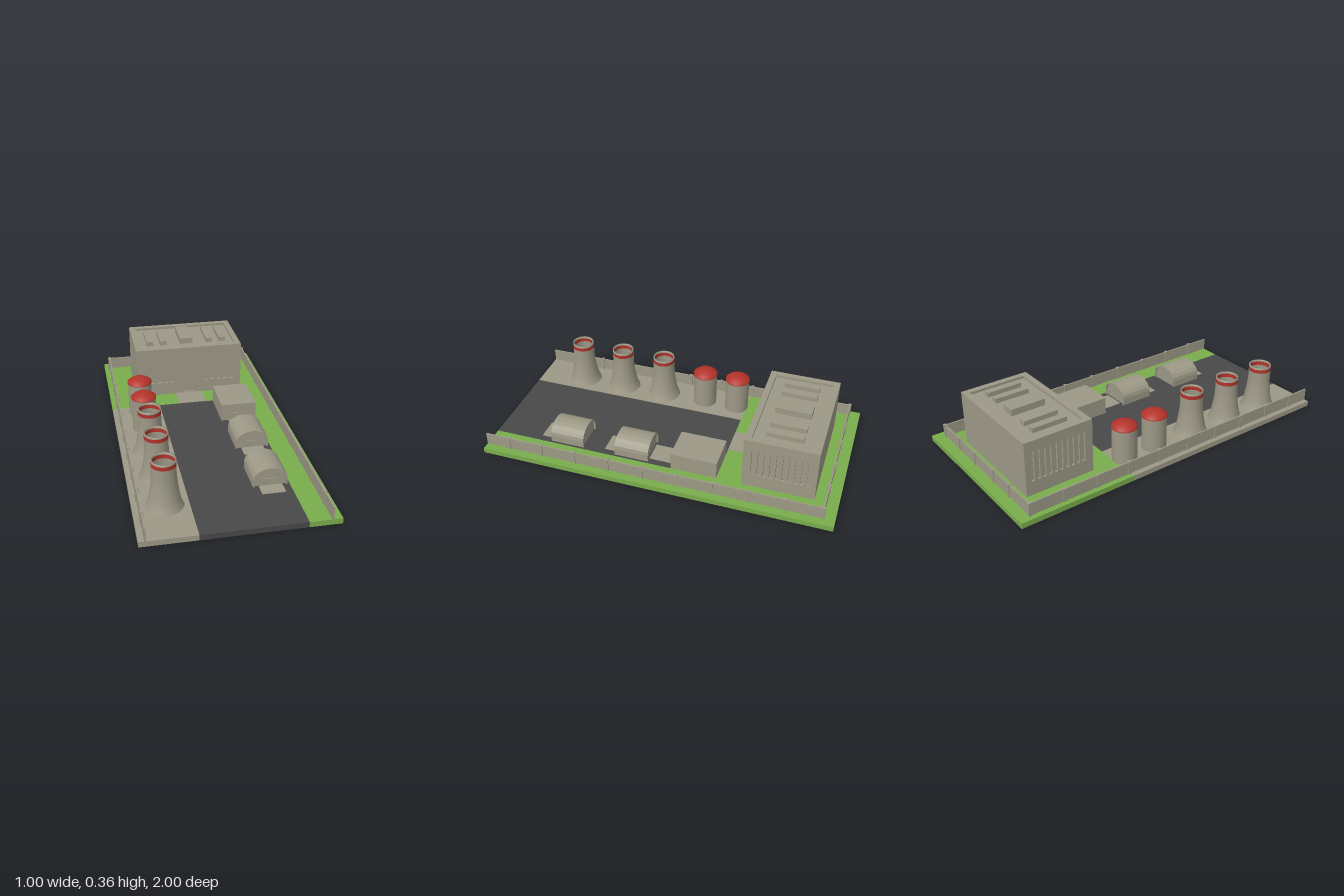
import * as THREE from 'three';

const mat = (name, color) => Object.assign(new THREE.MeshStandardMaterial({ color }), { name });

export function createModel() {
  const concrete = mat('concrete', 0x9d9987);
  const asphalt = mat('asphalt', 0x484848);
  const grass = mat('grass', 0x7aad4d);
  const red = mat('red', 0xb3332a);
  concrete.side = red.side = THREE.DoubleSide;
  const model = new THREE.Group();
  model.name = 'powerPlant';

  const add = (parent, name, geo, material, x = 0, y = 0, z = 0) => {
    const mesh = new THREE.Mesh(geo, material);
    mesh.name = name;
    mesh.position.set(x, y, z);
    parent.add(mesh);
    return mesh;
  };
  // box given by its limits on each axis
  const block = (parent, name, material, x0, x1, y0, y1, z0, z1) =>
    add(parent, name, new THREE.BoxGeometry(x1 - x0, y1 - y0, z1 - z0), material,
      (x0 + x1) / 2, (y0 + y1) / 2, (z0 + z1) / 2);
  const group = (name, x = 0, y = 0, z = 0) => {
    const g = new THREE.Group();
    g.name = name;
    g.position.set(x, y, z);
    model.add(g);
    return g;
  };
  const rect = (C, x0, x1, y0, y1) => new C([[x0, y0], [x1, y0], [x1, y1], [x0, y1]]
    .map(p => new THREE.Vector2(...p)));
  // flat plate with rectangular openings [x0, x1, y0, y1]
  const plate = (outline, holes, depth) => {
    const s = rect(THREE.Shape, ...outline);
    s.holes = holes.map(h => rect(THREE.Path, ...h));
    return new THREE.ExtrudeGeometry(s, { depth, bevelEnabled: false });
  };

  // Ground slabs
  const G = 0.03;
  const ground = group('ground');
  block(ground, 'concreteYard', concrete, -0.5, -0.21, 0, G, -0.33, 1);
  block(ground, 'asphaltYard', asphalt, -0.21, 0.33, 0, G, -0.33, 1);
  block(ground, 'asphaltFoundation', asphalt, -0.21, 0.33, 0, 0.012, -0.87, -0.33);
  block(ground, 'rightGrass', grass, 0.33, 0.5, 0, G, -1, 1);
  block(ground, 'leftGrass', grass, -0.5, -0.21, 0, G, -1, -0.33);
  block(ground, 'backGrass', grass, -0.21, 0.33, 0, G, -1, -0.87);
  block(ground, 'lawn', grass, -0.21, 0.33, 0.012, G, -0.87, -0.33);
  block(ground, 'path', concrete, -0.09, 0.08, G, G + 0.003, -0.47, -0.33);

  // Main building: core, recessed window strips, parapet, roof vents
  const hall = group('mainBuilding');
  const D = 0.012;
  block(hall, 'hallCore', concrete, -0.33 + D, 0.33 - D, G, 0.325, -0.87, -0.47 - D);
  const frontHoles = [[-0.035, 0.032, 0.037, 0.095]];
  for (let i = 0; i < 5; i++) {
    const x = 0.09 + i * 0.0422;
    frontHoles.push([x, x + 0.027, 0.11, 0.28], [-x - 0.027, -x, 0.11, 0.28]);
  }
  add(hall, 'frontWall', plate([-0.33, 0.33, G, 0.32], frontHoles, D), concrete, 0, 0, -0.47 - D);
  const sideHoles = [];
  for (let i = 0; i < 10; i++) {
    const u = -0.16 + i * 0.0335;
    sideHoles.push([u, u + 0.018, 0.11, 0.28]);
  }
  for (const s of [-1, 1]) {
    const wall = add(hall, s > 0 ? 'leftWall' : 'rightWall',
      plate([-0.194, 0.194, G, 0.32], sideHoles, D), concrete, s * (0.33 - D), 0, -0.676);
    wall.rotation.y = s * Math.PI / 2;
  }
  const parapet = add(hall, 'parapet',
    plate([-0.33, 0.33, -0.2, 0.2], [[-0.295, 0.295, -0.165, 0.165]], 0.02), concrete, 0, 0.32, -0.67);
  parapet.rotation.x = -Math.PI / 2;
  block(hall, 'centreVent', concrete, -0.04, 0.04, 0.32, 0.362, -0.77, -0.57);
  for (const x of [-0.23, -0.146, 0.146, 0.23])
    block(hall, 'roofVent', concrete, x - 0.02, x + 0.02, 0.32, 0.352, -0.77, -0.57);

  // Cooling towers: flared open shells with a red band
  const lathe = (pts, n) => new THREE.LatheGeometry(pts.map(p => new THREE.Vector2(...p)), n);
  const bandY = [0.266, 0.287];
  const lower = lathe([[0.099, G], [0.088, 0.055], [0.08, 0.085], [0.073, 0.125], [0.067, 0.17],
    [0.064, 0.215], [0.064, bandY[0]]], 20);
  const band = lathe([[0.064, bandY[0]], [0.064, bandY[1]]], 20);
  const rim = lathe([[0.064, bandY[1]], [0.064, 0.298], [0.057, 0.298], [0.057, bandY[1]]], 20);
  const innerBand = lathe([[0.057, bandY[1]], [0.057, bandY[0]]], 20);
  const innerWall = lathe([[0.057, bandY[0]], [0.057, 0.215], [0.066, 0.125], [0.085, G + 0.004]], 20);
  const floor = new THREE.CircleGeometry(0.085, 20).rotateX(-Math.PI / 2);
  for (const z of [0.195, 0.46, 0.725]) {
    const t = group('coolingTower', -0.335, 0, z);
    add(t, 'towerShell', lower, concrete);
    add(t, 'towerBand', band, red);
    add(t, 'towerRim', rim, concrete);
    add(t, 'towerInnerBand', innerBand, red);
    add(t, 'towerInnerWall', innerWall, concrete);
    add(t, 'towerFloor', floor, asphalt, 0, G + 0.004, 0);
  }

  // Storage tanks with red domes
  const dome = lathe([[0.072, 0.228], [0.072, 0.236], [0.06, 0.246], [0.043, 0.256], [0.022, 0.263], [0, 0.265]], 24);
  for (const z of [-0.07, -0.27]) {
    const t = group('storageTank', -0.335, 0, z);
    add(t, 'tankBody', new THREE.CylinderGeometry(0.069, 0.069, 0.205, 24), concrete, 0, 0.1325, 0);
    add(t, 'tankDome', dome, red);
  }

  // Office block and its apron
  const office = group('office');
  block(office, 'officeBody', concrete, 0.123, 0.33, G, 0.131, -0.33, -0.067);
  block(office, 'officeDoor', concrete, 0.195, 0.255, G, 0.075, -0.067, -0.063);
  block(office, 'officeApron', concrete, 0.165, 0.29, G, G + 0.003, -0.067, 0.07);

  // Arched sheds: curved roof shell overhanging the end walls
  const arch = (w, h, shape) => {
    for (let i = 0; i <= 10; i++) {
      const a = Math.PI * i / 10;
      shape.lineTo(w * Math.cos(a), 0.04 + (h - 0.04) * Math.sin(a));
    }
    return shape;
  };
  const shell = arch(0.092, 0.105, new THREE.Shape().moveTo(0.092, 0));
  shell.lineTo(-0.092, 0).lineTo(-0.084, 0);
  for (let i = 10; i >= 0; i--) {
    const a = Math.PI * i / 10;
    shell.lineTo(0.084 * Math.cos(a), 0.04 + 0.057 * Math.sin(a));
  }
  shell.lineTo(0.084, 0);
  const body = arch(0.084, 0.097, new THREE.Shape().moveTo(0.084, 0));
  body.lineTo(-0.084, 0);
  const extrude = (s, depth) => new THREE.ExtrudeGeometry(s, { depth, bevelEnabled: false });
  const shellGeo = extrude(shell, 0.2), bodyGeo = extrude(body, 0.18);
  for (const z of [0.07, 0.46]) {
    const s = group('archedShed', 0.225, G, z);
    add(s, 'shedRoof', shellGeo, concrete);
    add(s, 'shedBody', bodyGeo, concrete, 0, 0, 0.01);
    block(s, 'shedDoor', concrete, -0.037, 0.037, 0, 0.041, 0.19, 0.195);
    block(s, 'shedApron', concrete, -0.06, 0.065, 0, 0.003, 0.195, 0.27);
  }

  // Perimeter wall on three sides, with posts
  const fence = group('perimeterWall');
  const L = -0.466, R = 0.449, B = -0.934, T = 0.104;
  for (const x of [L, R]) {
    block(fence, 'sideWall', concrete, x - 0.004, x + 0.004, G, T - 0.003, B, 1);
    for (let i = 0; i < 10; i++) {
      const z = B + i * 0.199;
      block(fence, 'wallPost', concrete, x - 0.009, x + 0.009, G, T, z - 0.009, z + 0.009);
    }
  }
  block(fence, 'backWall', concrete, L, R, G, T - 0.003, B - 0.004, B + 0.004);
  for (const x of [-0.27, -0.11, 0.093, 0.273])
    block(fence, 'wallPost', concrete, x - 0.009, x + 0.009, G, T, B - 0.009, B + 0.009);

  return model;
}
